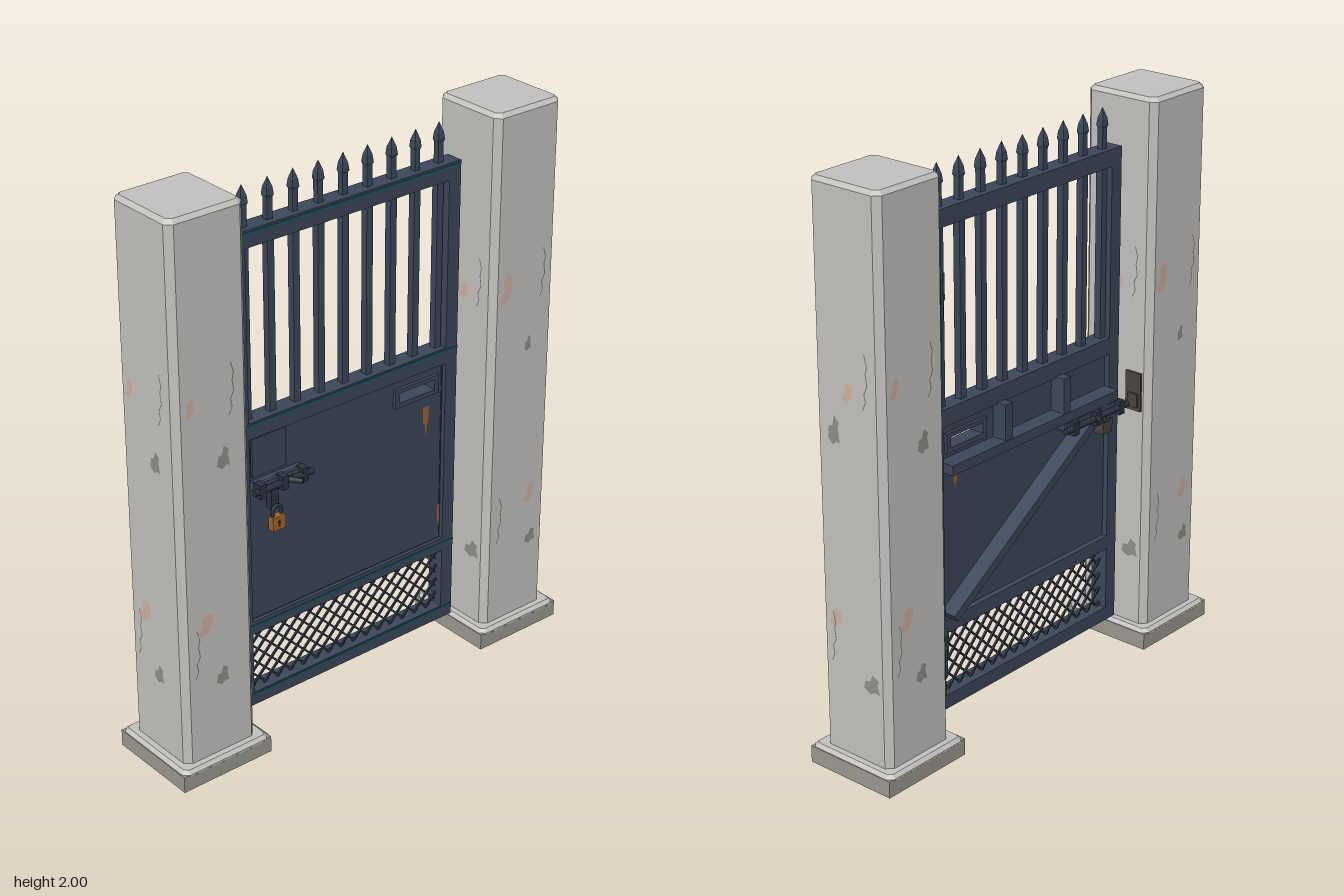
import * as THREE from 'three';

const mat = (name, color, double) => {
  const m = new THREE.MeshStandardMaterial({ color });
  m.name = name;
  if (double) m.side = THREE.DoubleSide;
  return m;
};

export function createModel() {
  const concrete = mat('concrete', 0xc3c1be), footing = mat('footing', 0x9a988e);
  const paint = mat('gatePaint', 0x3b475a), teal = mat('tealEdge', 0x1f5365);
  const steel = mat('darkSteel', 0x2b323e), iron = mat('agedIron', 0x4a443f);
  const rust = mat('rust', 0xa0602f, true), stain = mat('rustStain', 0xcfae9f, true);
  const chip = mat('chippedConcrete', 0x8f8d88, true), crackMat = mat('crack', 0x77756f, true);

  const root = new THREE.Group();
  root.name = 'gateWithPillars';

  const add = (parent, name, geo, m, x = 0, y = 0, z = 0) => {
    const mesh = new THREE.Mesh(geo, m);
    mesh.name = name;
    mesh.position.set(x, y, z);
    parent.add(mesh);
    return mesh;
  };
  const group = (parent, name) => {
    const g = new THREE.Group();
    g.name = name;
    parent.add(g);
    return g;
  };
  // box given by its limits on each axis
  const box = (parent, name, m, x0, x1, y0, y1, z0, z1) =>
    add(parent, name, new THREE.BoxGeometry(x1 - x0, y1 - y0, z1 - z0), m, (x0 + x1) / 2, (y0 + y1) / 2, (z0 + z1) / 2);
  // square bar between two points in a plane of constant z
  const bar = (parent, name, m, x0, y0, x1, y1, z, w, d) => {
    const b = add(parent, name, new THREE.BoxGeometry(Math.hypot(x1 - x0, y1 - y0), w, d), m, (x0 + x1) / 2, (y0 + y1) / 2, z);
    b.rotation.z = Math.atan2(y1 - y0, x1 - x0);
    return b;
  };
  const shapeOf = (pts, sx = 1, sy = 1) => new THREE.Shape(pts.map(([x, y]) => new THREE.Vector2(x * sx, y * sy)));
  const rect = (S, x0, x1, y0, y1) => new S().moveTo(x0, y0).lineTo(x1, y0).lineTo(x1, y1).lineTo(x0, y1).closePath();

  // square block with chamfered edges, standing on y = 0
  const chamferBlock = (w, h, b) => {
    const a = w / 2 - b, c = a - b;
    const s = shapeOf([[a, -c], [a, c], [c, a], [-c, a], [-a, c], [-a, -c], [-c, -a], [c, -a]]);
    const g = new THREE.ExtrudeGeometry(s, { depth: h - 2 * b, bevelEnabled: true, bevelSize: b, bevelThickness: b, bevelSegments: 1 });
    return g.rotateX(-Math.PI / 2).translate(0, b, 0);
  };

  // ---- Pillars with weathering ----
  const blob = [[-0.5, -0.3], [-0.1, -0.5], [0.2, -0.35], [0.5, -0.4], [0.35, 0.1], [0.45, 0.3], [0.05, 0.5], [-0.1, 0.15], [-0.4, 0.1]];
  const drip = [[-0.5, -0.45], [0.05, -0.5], [0.4, -0.2], [0.5, 0.35], [0.15, 0.5], [-0.2, 0.3], [-0.1, 0]];
  const crackLine = [[0, 0.5], [0.5, 0.3], [0.2, 0.15], [0.5, -0.05], [-0.2, -0.2], [0.1, -0.35], [-0.5, -0.5]];
  const crackShape = () => {
    const edge = crackLine.map(([x, y]) => [x * 0.02, y * 0.18]);
    return shapeOf([...edge, ...edge.slice().reverse().map(([x, y]) => [x + 0.004, y])]);
  };
  // each face: [x, y, width, height] for two stains and two chips, [x, y] for two cracks
  const faceA = { stains: [[-0.09, 1.37, 0.04, 0.06], [-0.055, 0.58, 0.065, 0.08]], chips: [[0.035, 1.16, 0.05, 0.08], [0.01, 0.365, 0.05, 0.07]], cracks: [[0.07, 1.39], [-0.09, 0.48]] };
  const faceB = { stains: [[-0.085, 1.37, 0.06, 0.1], [0.055, 0.545, 0.05, 0.07]], chips: [[0.025, 1.14, 0.03, 0.06], [0.07, 0.365, 0.05, 0.06]], cracks: [[0.08, 1.39], [-0.085, 0.48]] };
  const faceC = { stains: [[0, 1.34, 0.05, 0.06], [-0.08, 0.55, 0.06, 0.06]], chips: [[-0.06, 1.2, 0.05, 0.1], [0.075, 0.36, 0.07, 0.07]], cracks: [[0.075, 1.39], [-0.09, 0.48]] };
  const makePillar = (name, x, faces) => {
    const p = group(root, name);
    p.position.x = x;
    add(p, 'pillarShaft', chamferBlock(0.288, 1.95, 0.014), concrete, 0, 0.05, 0);
    box(p, 'pillarFooting', footing, -0.18, 0.18, 0, 0.06, -0.175, 0.175);
    add(p, 'footingCap', chamferBlock(0.354, 0.03, 0.012), concrete, 0, 0.042, 0);
    faces.forEach((f, i) => {
      const side = group(p, 'weatheredFace');
      side.rotation.y = i * Math.PI / 2;
      const z = 0.1455;
      f.stains.forEach(([u, y, w, h]) => add(side, 'rustStain', new THREE.ShapeGeometry(shapeOf(drip, w, h)), stain, u, y, z));
      f.chips.forEach(([u, y, w, h]) => add(side, 'chip', new THREE.ShapeGeometry(shapeOf(blob, w, h)), chip, u, y, z));
      f.cracks.forEach(([u, y]) => add(side, 'crack', new THREE.ShapeGeometry(crackShape()), crackMat, u, y, z));
    });
  };
  makePillar('rightPillar', -0.655, [faceA, faceC, faceB, faceA]);
  makePillar('leftPillar', 0.655, [faceB, faceC, faceA, faceC]);

  // ---- Gate frame ----
  const gate = group(root, 'gate');
  const L = -0.48, R = 0.46, l = -0.43, r = 0.41, B = -0.035, F = 0.03;
  box(gate, 'latchStile', paint, L, l, 0.09, 1.83, B, F);
  box(gate, 'hingeStile', paint, r, R, 0.09, 1.83, B, F);
  [[0.09, 0.14], [0.37, 0.42], [1.105, 1.165], [1.77, 1.83]].forEach(([a, b]) => {
    box(gate, 'rail', paint, l, r, a, b, B, F);
  });
  [0.13, 0.4, 1.154, 1.818].forEach(y => box(gate, 'railEdgeStripe', teal, L, R, y - 0.005, y + 0.005, F, F + 0.002));

  // ---- Upper bars and spear points ----
  const spear = new THREE.LatheGeometry([[0.012, 0], [0.02, 0.015], [0.016, 0.04], [0, 0.075]].map(p => new THREE.Vector2(...p)), 4).toNonIndexed();
  spear.computeVertexNormals();
  spear.rotateY(Math.PI / 4);
  for (let i = 0; i < 9; i++) {
    const x = -0.415 + i * 0.1006;
    box(gate, 'uprightBar', paint, x - 0.013, x + 0.013, 1.16, 1.775, -0.016, 0.01);
    box(gate, 'spearShaft', paint, x - 0.011, x + 0.011, 1.825, 1.905, -0.014, 0.008);
    add(gate, 'spearPoint', spear, paint, x, 1.895, -0.003);
  }

  // ---- Sheet panel with letter slot ----
  const sheet = rect(THREE.Shape, l, r, 0.415, 1.11);
  sheet.holes.push(rect(THREE.Path, 0.21, 0.365, 1.02, 1.057));
  add(gate, 'sheetPanel', new THREE.ExtrudeGeometry(sheet, { depth: 0.03, bevelEnabled: false }), paint, 0, 0, -0.015);
  const slot = rect(THREE.Shape, 0.19, 0.383, 1.003, 1.072);
  slot.holes.push(rect(THREE.Path, 0.21, 0.365, 1.02, 1.057));
  const slotGeo = new THREE.ExtrudeGeometry(slot, { depth: 0.012, bevelEnabled: false });
  add(gate, 'letterSlotFrame', slotGeo, paint, 0, 0, 0.015);
  add(gate, 'letterSlotFrameBack', slotGeo, paint, 0, 0, -0.027);
  box(gate, 'lockCover', paint, -0.415, -0.277, 0.96, 1.1, 0.015, 0.025);
  // thin dark seams around the panel and the lock cover
  [[l, r, 0.418, 0.421], [-0.27, r, 1.1, 1.103], [l, l + 0.003, 0.42, 1.1], [r - 0.006, r - 0.003, 0.42, 1.1], [-0.271, -0.268, 0.95, 1.1],
    [-0.418, -0.415, 0.958, 1.1], [-0.277, -0.274, 0.958, 1.1], [-0.418, -0.274, 0.957, 0.96]]
    .forEach(([a, b, c, d]) => box(gate, 'panelSeam', steel, a, b, c, d, 0.015, 0.017));
  // rust streaks on the sheet
  const streak = [[-0.5, 0.5], [0.5, 0.5], [0.4, 0], [0.15, -0.15], [0.05, -0.5], [-0.1, -0.1], [-0.45, 0.05]];
  [[0.335, 0.9, 0.028, 0.12], [0.401, 0.49, 0.01, 0.13], [-0.348, 0.885, 0.03, 0.06]].forEach(([x, y, w, h]) => {
    add(gate, 'rustStreak', new THREE.ShapeGeometry(shapeOf(streak, w, h)), rust, x, y, 0.0175);
  });
  add(gate, 'rustStreakBack', new THREE.ShapeGeometry(shapeOf(streak, 0.02, 0.06)), rust, 0.335, 0.89, -0.017);

  // ---- Braces on the back ----
  box(gate, 'backRail', paint, l, r, 0.95, 0.985, -0.075, -0.015);
  bar(gate, 'diagonalBrace', paint, 0.4, 0.435, -0.38, 0.95, -0.045, 0.03, 0.06);
  [0.13, -0.165].forEach(x => box(gate, 'shortUpright', paint, x - 0.018, x + 0.018, 0.98, 1.11, -0.07, -0.015));

  // ---- Woven wire infill, each wire clipped to the opening ----
  const mesh = group(gate, 'wireMesh');
  const y0 = 0.135, y1 = 0.375, step = 0.056;
  for (let c = l - (y1 - y0) + 0.02; c < r; c += step) {
    const a = Math.max(c, l), b = Math.min(c + y1 - y0, r);
    if (b - a < 0.005) continue;
    bar(mesh, 'risingWire', steel, a, y0 + a - c, b, y0 + b - c, 0.002, 0.007, 0.007);
    bar(mesh, 'fallingWire', steel, a, y1 - (a - c), b, y1 - (b - c), -0.005, 0.007, 0.007);
  }

  // ---- Hinges ----
  [1.585, 0.345].forEach(y => {
    const h = group(gate, 'hinge');
    h.position.y = y;
    box(h, 'pillarLeaf', steel, 0.498, 0.514, -0.075, 0.075, -0.115, -0.055);
    add(h, 'hingePin', new THREE.CylinderGeometry(0.013, 0.013, 0.15, 10), steel, 0.483, 0, -0.083);
    [-0.055, 0, 0.055].forEach(k => add(h, 'knuckle', new THREE.CylinderGeometry(0.021, 0.021, 0.036, 12), paint, 0.483, k, -0.083));
    const arm = box(h, 'gateLeaf', paint, 0.415, 0.49, -0.032, 0.032, -0.066, -0.05);
    arm.rotation.y = 0.6;
    box(h, 'stileLeaf', paint, 0.41, 0.45, -0.045, 0.045, -0.05, -0.034);
  });

  // ---- Sliding bolts, one on each face ----
  const makeBolt = (name, x0, x1, y, z, dir) => {
    const b = group(gate, name);
    b.position.set(0, y, z);
    b.scale.z = 1;
    const zr = dir * 0.022;
    add(b, 'boltPlate', new THREE.BoxGeometry(x1 - x0 - 0.04, 0.04, 0.012), paint, (x0 + x1) / 2, 0, dir * 0.004);
    const rod = add(b, 'boltRod', new THREE.CylinderGeometry(0.011, 0.011, x1 - x0, 12), steel, (x0 + x1) / 2, 0, zr);
    rod.rotation.z = Math.PI / 2;
    [0.12, 0.5, 0.85].forEach(t => add(b, 'boltKeeper', new THREE.BoxGeometry(0.025, 0.05, 0.036), steel, x0 + t * (x1 - x0), 0, dir * 0.014));
    const handle = add(b, 'boltHandle', new THREE.CylinderGeometry(0.008, 0.01, 0.05, 10), steel, -0.29, 0.005, dir * 0.045);
    handle.rotation.set(dir * Math.PI / 2, 0, -0.6);
    return b;
  };
  makeBolt('frontBolt', -0.442, -0.2, 0.93, 0.045, 1);
  box(gate, 'frontBoltMount', paint, -0.42, -0.22, 0.915, 0.945, 0.01, 0.045);
  makeBolt('backBolt', -0.47, -0.14, 0.925, -0.062, -1);
  box(gate, 'backBoltMount', paint, -0.43, -0.18, 0.905, 0.945, -0.06, -0.01);
  box(gate, 'backLatchBody', iron, -0.37, -0.32, 0.86, 0.91, -0.1, -0.06);
  const pull = add(gate, 'backLatchHook', new THREE.TorusGeometry(0.02, 0.006, 6, 12, Math.PI), steel, -0.335, 0.915, -0.09);
  pull.rotation.x = -Math.PI / 2;

  // ---- Padlock ----
  const lock = group(gate, 'padlock');
  lock.position.set(-0.36, 0.802, 0.078);
  add(lock, 'padlockBody', new THREE.BoxGeometry(0.052, 0.05, 0.026), rust);
  add(lock, 'shackle', new THREE.TorusGeometry(0.018, 0.006, 8, 16, Math.PI), steel, 0, 0.042, 0);
  [-0.018, 0.018].forEach(x => add(lock, 'shackleLeg', new THREE.CylinderGeometry(0.006, 0.006, 0.03, 8), steel, x, 0.03, 0));
  add(lock, 'keyhole', new THREE.CylinderGeometry(0.006, 0.006, 0.004, 10), steel, 0, 0.004, 0.014).rotation.x = Math.PI / 2;
  add(lock, 'keySlit', new THREE.BoxGeometry(0.004, 0.016, 0.003), steel, 0, -0.004, 0.014);
  box(gate, 'padlockHasp', steel, -0.375, -0.345, 0.845, 0.92, 0.04, 0.07);

  // ---- Strike plate on the latch pillar ----
  box(root, 'strikePlate', iron, -0.514, -0.503, 0.89, 1.03, -0.115, -0.05);
  box(root, 'strikeSocket', iron, -0.508, -0.495, 0.905, 0.955, -0.105, -0.065);

  return root;
}
